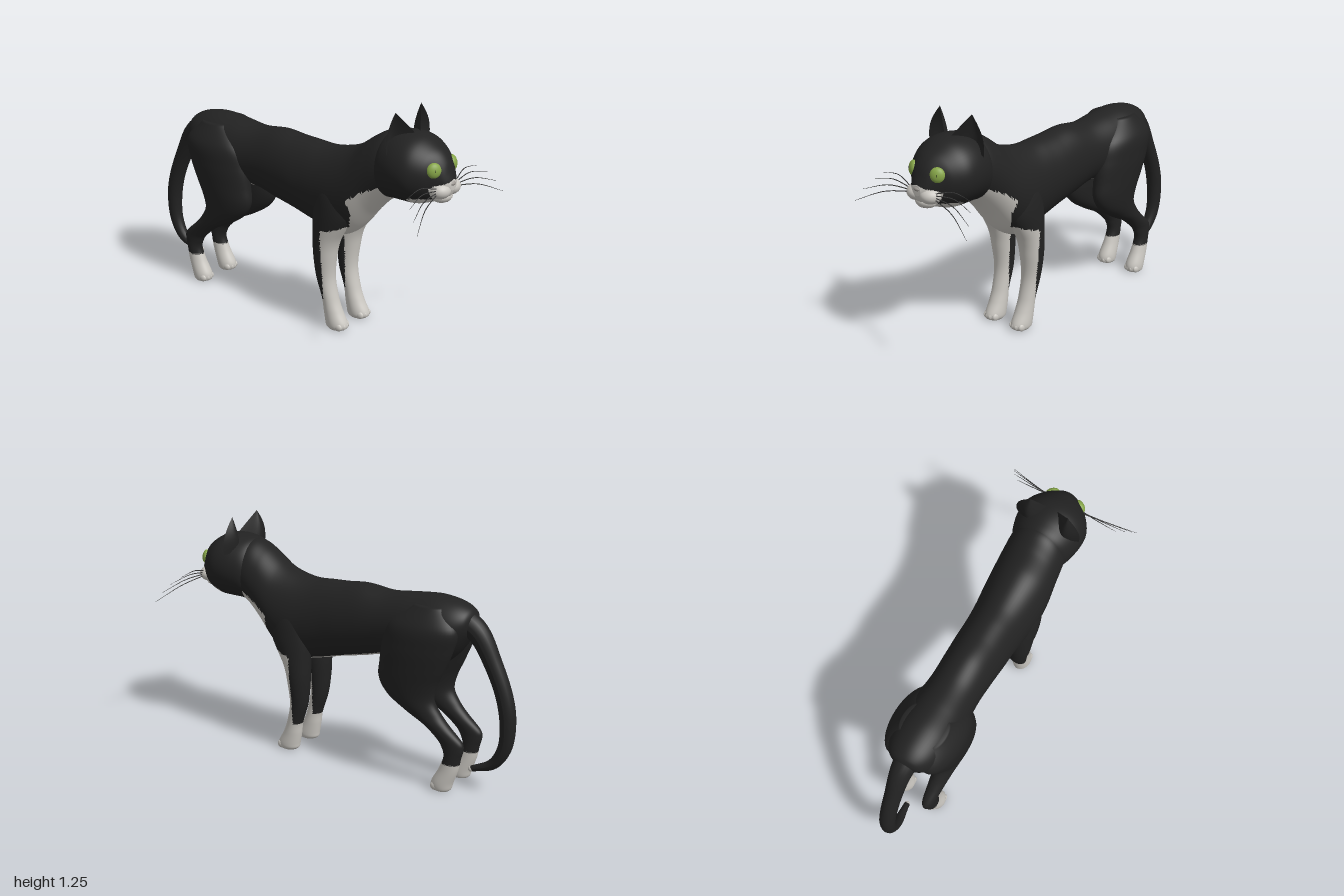
import * as THREE from 'three';

const mat = (name, color) => {
  const m = new THREE.MeshStandardMaterial({ color, side: THREE.DoubleSide });
  m.name = name;
  return m;
};

// Smooth interpolation of table rows, t in 0..1
function sample(rows, t) {
  const f = t * (rows.length - 1), i = Math.min(Math.floor(f), rows.length - 2), u = f - i;
  const at = k => rows[Math.max(0, Math.min(rows.length - 1, k))];
  const [a, b, c, d] = [at(i - 1), at(i), at(i + 1), at(i + 2)];
  return b.map((_, k) => 0.5 * (2 * b[k] + (c[k] - a[k]) * u
    + (2 * a[k] - 5 * b[k] + 4 * c[k] - d[k]) * u * u
    + (3 * b[k] - a[k] - 3 * c[k] + d[k]) * u * u * u));
}

// Elliptical rings: row = [station, high, low, centreX, halfWidth].
// axis 'z' stacks upright rings forward, axis 'y' stacks level rings downward.
function loft(rows, axis, isWhite, steps, sides = 56) {
  const pos = [], lists = [[], []];
  for (let k = 0; k <= steps; k++) {
    const [s, hi, lo, xc, hw] = sample(rows, k / steps);
    for (let j = 0; j < sides; j++) {
      const a = j / sides * Math.PI * 2;
      const x = xc + hw * Math.cos(a), o = (hi + lo) / 2 + (hi - lo) / 2 * Math.sin(a);
      pos.push(x, axis === 'z' ? o : s, axis === 'z' ? s : o);
    }
  }
  for (const [s, hi, lo, xc] of [rows[0], rows[rows.length - 1]]) {
    const o = (hi + lo) / 2;
    pos.push(xc, axis === 'z' ? o : s, axis === 'z' ? s : o);
  }
  const tri = (...v) => {
    const mid = c => v.reduce((sum, i) => sum + pos[i * 3 + c] / 3, 0);
    lists[isWhite(mid(0), mid(1), mid(2)) ? 1 : 0].push(...v);
  };
  const end = (steps + 1) * sides;
  for (let j = 0; j < sides; j++) {
    const n = (j + 1) % sides;
    for (let k = 0; k < steps; k++) {
      const a = k * sides + j, b = k * sides + n;
      tri(a, b, b + sides);
      tri(a, b + sides, a + sides);
    }
    tri(end, n, j);
    tri(end + 1, steps * sides + j, steps * sides + n);
  }
  const g = new THREE.BufferGeometry();
  g.setAttribute('position', new THREE.Float32BufferAttribute(pos, 3));
  g.setIndex([...lists[0], ...lists[1]]);
  g.addGroup(0, lists[0].length, 0);
  g.addGroup(lists[0].length, lists[1].length, 1);
  g.computeVertexNormals();
  return g;
}

// Tube whose radius follows a list of values
function taperedTube(points, radii, segs, sides) {
  const curve = new THREE.CatmullRomCurve3(points.map(p => new THREE.Vector3(...p)));
  const g = new THREE.TubeGeometry(curve, segs, 1, sides);
  const p = g.attributes.position, v = new THREE.Vector3();
  for (let i = 0; i < p.count; i++) {
    const u = Math.floor(i / (sides + 1)) / segs, c = curve.getPointAt(u);
    v.fromBufferAttribute(p, i).sub(c).multiplyScalar(sample(radii.map(r => [r]), u)[0]).add(c);
    p.setXYZ(i, v.x, v.y, v.z);
  }
  g.computeVertexNormals();
  return g;
}

// Cupped ear: a curved base drawn up to a tip
function earGeometry(side) {
  const base = new THREE.CatmullRomCurve3([[0.012, 1.135, 0.735], [0.09, 1.08, 0.64], [0.182, 1.06, 0.675]]
    .map(p => new THREE.Vector3(...p)));
  const tip = new THREE.Vector3(0.107, 1.257, 0.67);
  const g = new THREE.PlaneGeometry(1, 1, 14, 10), p = g.attributes.position, v = new THREE.Vector3();
  for (let i = 0; i < p.count; i++) {
    const u = p.getX(i) + 0.5, h = p.getY(i) + 0.5, bulge = Math.sin(Math.PI * h);
    v.copy(base.getPoint(u)).lerp(tip, h);
    p.setXYZ(i, side * (v.x + 0.03 * bulge * u * u), v.y, v.z - 0.012 * bulge * Math.sin(Math.PI * u));
  }
  if (side < 0) {
    const idx = g.index;
    for (let i = 0; i < idx.count; i += 3) {
      const a = idx.getX(i);
      idx.setX(i, idx.getX(i + 1));
      idx.setX(i + 1, a);
    }
  }
  g.computeVertexNormals();
  return g;
}

// Rear edge of the white bib and leg fronts, as z at a given height
const BIB = [[0, 0.265], [0.56, 0.265], [0.575, 0.33], [0.6, 0.4], [0.69, 0.435], [0.76, 0.42], [0.82, 0.5], [0.865, 0.6]];
function bibZ(y) {
  for (let i = 1; i < BIB.length; i++) {
    const [y0, z0] = BIB[i - 1], [y1, z1] = BIB[i];
    if (y <= y1) return z0 + (z1 - z0) * (y - y0) / (y1 - y0);
  }
  return 9;
}

const BODY = [
  [-0.755, 0.92, 0.86, 0, 0.03], [-0.73, 0.955, 0.8, 0, 0.09], [-0.66, 0.985, 0.7, 0, 0.14],
  [-0.55, 1.0, 0.62, 0, 0.165], [-0.42, 0.99, 0.62, 0, 0.155], [-0.27, 0.975, 0.635, 0, 0.138],
  [-0.12, 0.99, 0.6, 0, 0.14], [0, 0.98, 0.575, 0, 0.145], [0.1, 0.975, 0.548, 0, 0.147],
  [0.2, 0.97, 0.525, 0, 0.155], [0.3, 0.985, 0.505, 0, 0.167], [0.4, 1.02, 0.56, 0, 0.17],
  [0.5, 1.09, 0.68, 0, 0.162], [0.58, 1.13, 0.76, 0, 0.155], [0.66, 1.12, 0.81, 0, 0.14], [0.72, 1.08, 0.85, 0, 0.1]];
const HEAD = [
  [0.52, 1.06, 0.84, 0, 0.08], [0.58, 1.125, 0.79, 0, 0.15], [0.65, 1.146, 0.795, 0, 0.178],
  [0.72, 1.15, 0.797, 0, 0.187], [0.78, 1.138, 0.8, 0, 0.178], [0.84, 1.105, 0.82, 0, 0.142],
  [0.88, 1.075, 0.84, 0, 0.1], [0.91, 1.035, 0.855, 0, 0.068], [0.93, 0.985, 0.87, 0, 0.048], [0.943, 0.95, 0.9, 0, 0.025]];
const FRONT_LEG = [
  [0.84, 0.36, 0.24, 0.09, 0.04], [0.77, 0.4, 0.2, 0.1, 0.065], [0.65, 0.41, 0.18, 0.1, 0.076],
  [0.5, 0.335, 0.18, 0.1, 0.07], [0.4, 0.31, 0.185, 0.1, 0.064], [0.28, 0.3, 0.2, 0.096, 0.053],
  [0.17, 0.322, 0.235, 0.094, 0.047], [0.1, 0.35, 0.245, 0.093, 0.048], [0.04, 0.383, 0.255, 0.093, 0.05],
  [0.015, 0.385, 0.26, 0.093, 0.047], [0.002, 0.37, 0.275, 0.093, 0.038]];
const HIND_LEG = [
  [0.96, -0.46, -0.62, 0.08, 0.04], [0.86, -0.33, -0.71, 0.1, 0.088], [0.75, -0.29, -0.69, 0.104, 0.094],
  [0.64, -0.275, -0.645, 0.106, 0.086], [0.55, -0.27, -0.605, 0.106, 0.077], [0.47, -0.32, -0.59, 0.104, 0.067],
  [0.4, -0.425, -0.63, 0.1, 0.056], [0.345, -0.53, -0.68, 0.1, 0.046], [0.28, -0.61, -0.752, 0.1, 0.037],
  [0.24, -0.64, -0.763, 0.1, 0.035], [0.19, -0.655, -0.75, 0.1, 0.036], [0.12, -0.63, -0.735, 0.1, 0.041],
  [0.05, -0.592, -0.71, 0.1, 0.048], [0.015, -0.59, -0.7, 0.1, 0.046], [0.002, -0.605, -0.69, 0.1, 0.038]];

// Front surface of the head at a given x, y
function headZ(x, y) {
  for (let t = 1; t > 0; t -= 0.002) {
    const [z, hi, lo, , hw] = sample(HEAD, t);
    if ((x / hw) ** 2 + ((y - (hi + lo) / 2) / ((hi - lo) / 2)) ** 2 < 1) return z;
  }
  return 0.6;
}

export function createModel() {
  const model = new THREE.Group();
  const black = mat('black fur', 0x222222), white = mat('white fur', 0xcac7c1);
  const green = mat('green iris', 0x86a548), dark = mat('pupil black', 0x0c0c0c);
  const grey = mat('nose grey', 0x9b9691), whiskerMat = mat('whisker grey', 0x3a3a3a);
  const fur = [black, white];
  const add = (name, geo, material, parent = model) => {
    const m = new THREE.Mesh(geo, material);
    m.name = name;
    parent.add(m);
    return m;
  };
  const ball = (name, material, at, size, parent = model) => {
    const m = add(name, new THREE.SphereGeometry(1, 28, 18), material, parent);
    m.position.set(...at);
    m.scale.set(...size);
    return m;
  };

  // Trunk and neck, with white bib and belly
  add('body', loft(BODY, 'z', (x, y, z) =>
    z > bibZ(y) || (z > -0.36 && z < 0.35 && y < 0.6 - 0.25 * (z + 0.3) + 0.065), 150, 64), fur);

  // Head, with white chin and muzzle
  add('head', loft(HEAD, 'z', (x, y, z) =>
    (z > 0.87 && y < 0.955 - 0.3 * Math.abs(x)) || (z > 0.76 && y < 0.855 && Math.abs(x) < 0.13), 90, 64), fur);
  ball('chin', white, [0, 0.86, 0.88], [0.06, 0.035, 0.05]);
  ball('noseBridge', white, [0, 0.932, 0.9], [0.046, 0.025, 0.045]);
  ball('nose', grey, [0, 0.934, 0.938], [0.02, 0.011, 0.013]);
  add('noseLine', taperedTube([[-0.032, 0.943, 0.927], [-0.016, 0.925, 0.94], [0, 0.907, 0.938],
    [0.016, 0.925, 0.94], [0.032, 0.943, 0.927]], [0.002, 0.002], 24, 6), dark);
  add('mouth', taperedTube([[-0.045, 0.845, 0.906], [0, 0.836, 0.916], [0.045, 0.845, 0.906]], [0.002, 0.002], 16, 6), grey);

  for (const side of [1, -1]) {
    const tag = side > 0 ? 'left' : 'right';
    ball(tag + 'WhiskerPad', white, [side * 0.043, 0.9, 0.893], [0.056, 0.042, 0.055]);
    add(tag + 'Ear', earGeometry(side), black);

    // Eye with a slit pupil
    const eye = new THREE.Group();
    eye.name = tag + 'Eye';
    eye.position.set(side * 0.081, 1.006, headZ(0.081, 1.006) - 0.006);
    eye.rotation.set(-0.15, side * 0.6, 0, 'YXZ');
    ball(tag + 'Iris', green, [0, 0, 0], [0.037, 0.038, 0.022], eye);
    ball(tag + 'Pupil', dark, [0, 0, 0], [0.004, 0.018, 0.0235], eye);
    model.add(eye);

    // Whiskers
    [[0.38, 0.797, 1.0], [0.363, 0.85, 0.965], [0.337, 0.897, 0.925], [0.297, 0.932, 0.885]].forEach(([x, y, z], i) => {
      const startY = 0.892 + i * 0.009;
      add(tag + 'Whisker', taperedTube([[side * 0.08, startY, 0.905],
        [side * (0.08 + x) / 2, (startY + y) / 2 + 0.02, (0.905 + z) / 2 - 0.012], [side * x, y, z]],
      [0.0028, 0.0022, 0.0008], 14, 5), whiskerMat);
    });

    // Legs with white paws and toes
    const mirror = rows => rows.map(([s, hi, lo, xc, hw]) => [s, hi, lo, side * xc, hw]);
    add(tag + 'FrontLeg', loft(mirror(FRONT_LEG), 'y', (x, y, z) => y < 0.16 || z > bibZ(y), 110, 48), fur);
    add(tag + 'HindLeg', loft(mirror(HIND_LEG), 'y', (x, y) => y < 0.155, 110, 48), fur);
    for (const [name, xc, front] of [['FrontToe', 0.093, 0.366], ['HindToe', 0.1, -0.608]])
      for (const k of [-1.5, -0.5, 0.5, 1.5])
        ball(tag + name, white, [side * xc + k * 0.021, 0.024, front - Math.abs(k) * 0.009], [0.014, 0.022, 0.026]);
  }

  // Tail with a pale tip
  add('tail', taperedTube([[0, 0.9, -0.66], [0, 0.84, -0.77], [0, 0.69, -0.862], [0, 0.53, -0.93], [0, 0.4, -0.954],
    [0, 0.26, -0.942], [0, 0.16, -0.88], [0.015, 0.114, -0.77]],
  [0.07, 0.056, 0.047, 0.044, 0.043, 0.038, 0.03, 0.016], 70, 20), black);
  ball('tailTip', white, [0.016, 0.113, -0.769], [0.016, 0.0155, 0.018]);

  return model;
}
